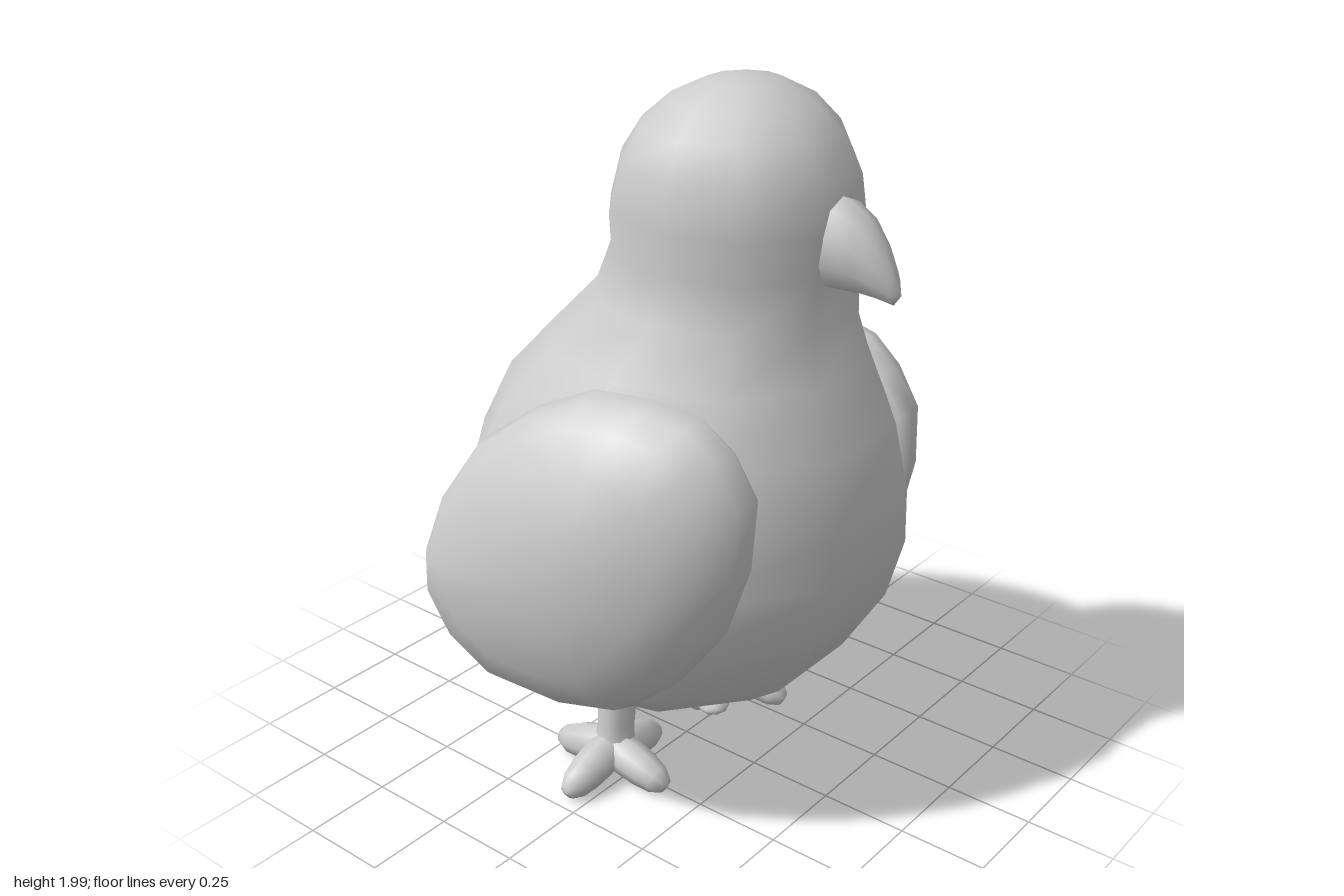
import * as THREE from 'three';

const grey = new THREE.MeshStandardMaterial({ color: 0xcccccc });
grey.name = 'plain grey';

// Smooth skin over closed rings of equal length, closed at both ends by a point
function loft(rings, start, end) {
  const n = rings[0].length;
  const pos = [...rings.flat(2), ...start, ...end];
  const s = rings.length * n, e = s + 1, index = [];
  for (let i = 0; i < rings.length - 1; i++) {
    for (let j = 0; j < n; j++) {
      const a = i * n + j, b = i * n + (j + 1) % n;
      index.push(a, b, b + n, a, b + n, a + n);
    }
  }
  for (let j = 0; j < n; j++) {
    const k = (j + 1) % n;
    index.push(s, k, j, e, s - n + j, s - n + k);
  }
  const g = new THREE.BufferGeometry();
  g.setAttribute('position', new THREE.Float32BufferAttribute(pos, 3));
  g.setIndex(index);
  g.computeVertexNormals();
  return g;
}

function add(parent, name, geometry) {
  const m = new THREE.Mesh(geometry, grey);
  m.name = name;
  parent.add(m);
  return m;
}

const lathe = (pts, sides) =>
  new THREE.LatheGeometry(pts.map(p => new THREE.Vector2(...p)), sides);

// Body and head: height, front z, back z, half width
function bodyGeometry() {
  const rows = [
    [0.195, 0.03, -0.13, 0.1], [0.24, 0.17, -0.37, 0.28], [0.32, 0.32, -0.515, 0.4],
    [0.41, 0.435, -0.58, 0.49], [0.6, 0.55, -0.65, 0.575], [0.78, 0.6, -0.65, 0.585],
    [0.93, 0.6, -0.605, 0.565], [1.12, 0.57, -0.51, 0.49], [1.28, 0.51, -0.36, 0.4],
    [1.42, 0.475, -0.225, 0.318], [1.55, 0.475, -0.17, 0.297], [1.66, 0.49, -0.172, 0.31],
    [1.78, 0.475, -0.14, 0.288], [1.87, 0.425, -0.08, 0.255], [1.94, 0.355, 0, 0.19],
    [1.985, 0.27, 0.09, 0.1]
  ];
  const rings = rows.map(([y, f, b, w]) => Array.from({ length: 10 }, (_, j) => {
    const a = (j + 0.5) * Math.PI / 5;
    const rz = (f - b) / 2 / Math.cos(Math.PI / 10);
    return [w * Math.sin(a), y, (f + b) / 2 + rz * Math.cos(a)];
  }));
  return loft(rings, [0, 0.192, -0.05], [0, 2, 0.18]);
}

// Beak: z, top, bottom, half width
function beakGeometry() {
  const rows = [
    [0.44, 1.75, 1.51, 0.1], [0.49, 1.742, 1.51, 0.1], [0.55, 1.71, 1.512, 0.075],
    [0.6, 1.65, 1.508, 0.05], [0.635, 1.59, 1.502, 0.025]
  ];
  const rings = rows.map(([z, t, b, w]) => Array.from({ length: 10 }, (_, j) => {
    const a = (j + 0.5) * Math.PI / 5;
    return [w * Math.cos(a), (t + b) / 2 + (t - b) / 2 * Math.sin(a), z];
  }));
  return loft(rings, [0, 1.63, 0.44], [0, 1.53, 0.655]);
}

// Wing: egg-shaped outline (z, y) on a leaning plane, domed outward
function wingGeometry() {
  const outline = [
    [0.495, 0.89], [0.44, 0.7], [0.32, 0.53], [0.175, 0.41], [0, 0.38], [-0.21, 0.4],
    [-0.355, 0.49], [-0.44, 0.62], [-0.445, 0.73], [-0.39, 0.9], [-0.28, 1.07],
    [-0.12, 1.19], [0.04, 1.265], [0.21, 1.27], [0.34, 1.25], [0.43, 1.18], [0.5, 1.07]
  ];
  const cz = 0.04, cy = 0.83;
  const plane = (y, z) => 0.52 - 0.08 * y - 0.17 * z;
  // Scale of the outline, offset from the plane
  const layers = [[0.8, -0.045], [0.95, -0.035], [1, 0], [0.96, 0.055],
    [0.85, 0.115], [0.65, 0.17], [0.35, 0.21]];
  const rings = layers.map(([s, o]) => outline.map(([z, y]) => {
    const yy = cy + (y - cy) * s, zz = cz + (z - cz) * s;
    return [plane(yy, zz) + o, yy, zz];
  }));
  const mid = plane(cy, cz);
  return loft(rings, [mid - 0.045, cy, cz], [mid + 0.225, cy, cz]);
}

export function createModel() {
  const model = new THREE.Group();
  model.name = 'bird';
  add(model, 'body', bodyGeometry());
  add(model, 'beak', beakGeometry());

  // Small flared nub under the belly
  const nub = add(model, 'bellyNub', lathe(
    [[0, 0], [0.035, 0.002], [0.048, 0.022], [0.028, 0.035], [0.027, 0.05], [0.038, 0.1]], 8));
  nub.position.set(0, 0.135, 0.11);
  nub.rotation.x = -0.25;

  const wing = wingGeometry();
  const leg = lathe([[0.07, 0.07], [0.056, 0.12], [0.052, 0.17], [0.056, 0.3]], 10);
  const toe = lathe([[0.05, -0.01], [0.056, 0.06], [0.052, 0.12], [0.042, 0.17], [0.024, 0.2], [0, 0.208]], 8);
  toe.rotateZ(-Math.PI / 2 - 0.27);

  for (const side of [1, -1]) {
    const half = new THREE.Group();
    half.name = side > 0 ? 'leftSide' : 'rightSide';
    half.scale.x = side;
    model.add(half);
    add(half, 'wing', wing);

    // Leg with four toes in a cross
    const foot = new THREE.Group();
    foot.name = 'foot';
    foot.position.set(0.28, 0, -0.045);
    half.add(foot);
    add(foot, 'leg', leg).rotation.z = 0.1;
    for (let i = 0; i < 4; i++) {
      const t = add(foot, 'toe', toe);
      t.position.y = 0.1;
      t.rotation.y = i * Math.PI / 2;
    }
  }
  return model;
}
